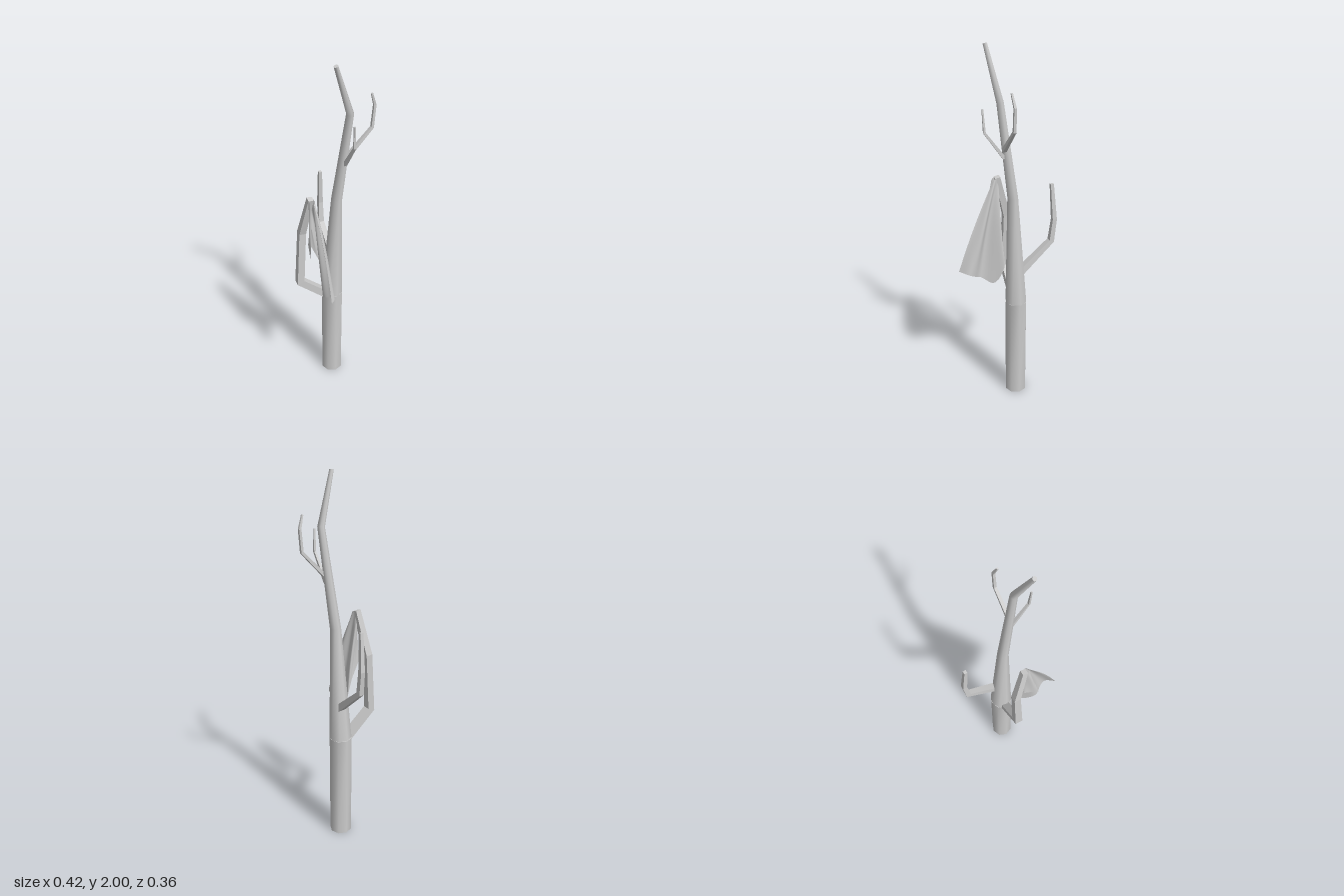
import * as THREE from 'three';

const V = (p) => new THREE.Vector3(p[0], p[1], p[2]);
const bark = new THREE.MeshStandardMaterial({ color: 0xcccccc });
const facetedBark = new THREE.MeshStandardMaterial({ color: 0xcccccc, flatShading: true });
const fabric = new THREE.MeshStandardMaterial({ color: 0xcccccc, side: THREE.DoubleSide });

// Tapered limb swept through stations [x, y, z, radius], closed at both ends
function limb(name, stations, sides, material) {
  const centres = stations.map(V);
  const heading = centres[1].clone().sub(centres[0]).setY(0);
  if (heading.length() < 0.001) heading.set(1, 0, 0);
  const across = heading.normalize().cross(new THREE.Vector3(0, 1, 0));
  const pos = [], index = [], rings = [];
  centres.forEach((c, i) => {
    const t = new THREE.Vector3();
    if (i > 0) t.add(c.clone().sub(centres[i - 1]).normalize());
    if (i < centres.length - 1) t.add(centres[i + 1].clone().sub(c).normalize());
    t.normalize();
    const s = across.clone().addScaledVector(t, -across.dot(t)).normalize();
    const w = t.clone().cross(s);
    const ring = [];
    for (let j = 0; j < sides; j++) {
      const a = ((j + 0.5) / sides) * Math.PI * 2, r = stations[i][3];
      ring.push(c.clone().addScaledVector(s, Math.cos(a) * r).addScaledVector(w, Math.sin(a) * r));
    }
    rings.push(ring);
    ring.forEach((p) => pos.push(p.x, p.y, p.z));
  });
  for (let i = 0; i < rings.length - 1; i++) {
    for (let j = 0; j < sides; j++) {
      const k = (j + 1) % sides, a = i * sides, b = a + sides;
      index.push(a + j, a + k, b + k, a + j, b + k, b + j);
    }
  }
  // End caps use their own vertices so their rims stay sharp
  [[rings[0], true], [rings[rings.length - 1], false]].forEach(([ring, flip]) => {
    const base = pos.length / 3;
    ring.forEach((p) => pos.push(p.x, p.y, p.z));
    for (let j = 1; j < sides - 1; j++) {
      if (flip) index.push(base, base + j + 1, base + j);
      else index.push(base, base + j, base + j + 1);
    }
  });
  const g = new THREE.BufferGeometry();
  g.setAttribute('position', new THREE.Float32BufferAttribute(pos, 3));
  g.setIndex(index);
  g.computeVertexNormals();
  const mesh = new THREE.Mesh(g, material);
  mesh.name = name;
  return mesh;
}

// Cloth hanging in folds: a gathered top curve blended down to a wavy hem
function hangingCloth() {
  const top = new THREE.CatmullRomCurve3([
    [0.012, 1.275, 0.122], [-0.012, 1.283, 0.125], [-0.025, 1.27, 0.112],
    [-0.012, 1.285, 0.098], [0.008, 1.28, 0.1], [0.016, 1.265, 0.11],
  ].map(V));
  const hem = new THREE.CatmullRomCurve3([
    [0.045, 0.96, 0.168], [0.012, 0.99, 0.145], [-0.022, 1.01, 0.12],
    [-0.008, 0.9, 0.07], [0, 0.79, 0.035], [0.045, 0.68, 0.075],
    [0.095, 0.715, 0.125], [0.15, 0.745, 0.118], [0.18, 0.762, 0.125], [0.208, 0.775, 0.175],
  ].map(V));
  const nu = 48, nv = 14, pos = [], index = [];
  for (let i = 0; i <= nv; i++) {
    const v = i / nv;
    for (let j = 0; j <= nu; j++) {
      const u = j / nu;
      const p = top.getPoint(u).lerp(hem.getPoint(u), v);
      // Slight outward belly and soft vertical pleats on the long side
      const belly = Math.sin(Math.PI * v);
      p.x += 0.012 * belly * u;
      p.z += 0.008 * belly * Math.sin(u * 22);
      pos.push(p.x, p.y, p.z);
      if (i < nv && j < nu) {
        const a = i * (nu + 1) + j, b = a + nu + 1;
        index.push(a, b, b + 1, a, b + 1, a + 1);
      }
    }
  }
  const g = new THREE.BufferGeometry();
  g.setAttribute('position', new THREE.Float32BufferAttribute(pos, 3));
  g.setIndex(index);
  g.computeVertexNormals();
  const mesh = new THREE.Mesh(g, fabric);
  mesh.name = 'hangingCloth';
  return mesh;
}

export function createModel() {
  const tree = new THREE.Group();
  tree.name = 'deadTree';

  // Straight lower trunk and the leaning, tapering upper trunk
  tree.add(limb('lowerTrunk', [[-0.01, 0, -0.043, 0.061], [-0.01, 0.6, -0.043, 0.061]], 8, bark));
  tree.add(limb('upperTrunk', [
    [-0.01, 0.6, -0.043, 0.06], [0.018, 1.23, -0.046, 0.029],
    [0.1, 1.74, -0.046, 0.019], [0.103, 2, 0.052, 0.011],
  ], 8, bark));

  // Square-section side branches
  tree.add(limb('frontBranch', [
    [-0.025, 0.59, -0.01, 0.03], [-0.085, 0.725, 0.13, 0.03],
    [-0.08, 1.05, 0.112, 0.026], [-0.014, 1.287, 0.108, 0.02],
  ], 4, facetedBark));
  tree.add(limb('rightBranch', [
    [-0.02, 0.79, -0.065, 0.026], [-0.185, 0.945, -0.128, 0.02],
    [-0.197, 1.07, -0.135, 0.017], [-0.184, 1.272, -0.124, 0.012],
  ], 4, facetedBark));

  // Thin twigs near the crown
  tree.add(limb('leftTwig', [
    [0.075, 1.46, -0.044, 0.012], [0.168, 1.6, -0.009, 0.008], [0.172, 1.715, -0.002, 0.005],
  ], 4, facetedBark));
  tree.add(limb('backTwig', [
    [0.08, 1.5, -0.05, 0.014], [0.126, 1.635, -0.172, 0.01],
    [0.13, 1.75, -0.18, 0.009], [0.13, 1.815, -0.157, 0.006],
  ], 4, facetedBark));

  tree.add(hangingCloth());
  return tree;
}
